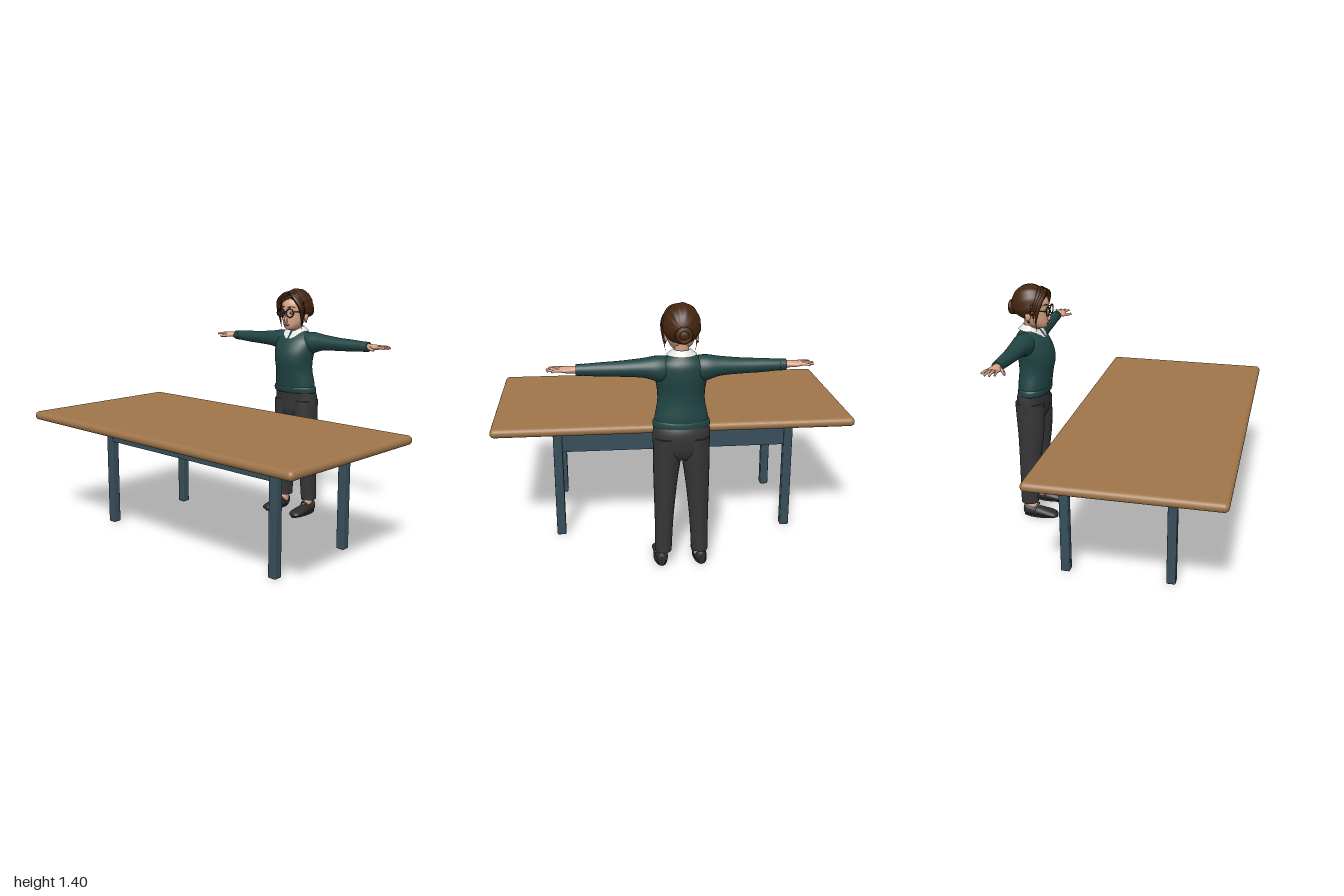
import * as THREE from 'three';
import { RoundedBoxGeometry } from 'three/addons/geometries/RoundedBoxGeometry.js';

const paint = (name, color) => Object.assign(new THREE.MeshStandardMaterial({ color }), { name });

// Smooth closed body through elliptical sections [t, a0, a1, b0, b1] along an axis.
function loft(axis, rows, sides = 28, steps = 4) {
  const rings = [];
  for (let i = 0; i < rows.length - 1; i++) {
    const p = [rows[Math.max(i - 1, 0)], rows[i], rows[i + 1], rows[Math.min(i + 2, rows.length - 1)]];
    const last = i === rows.length - 2;
    for (let s = 0; s < steps + (last ? 1 : 0); s++) {
      const t = s / steps;
      rings.push(p[1].map((_, k) => {
        const [a, b, c, d] = p.map((r) => r[k]);
        return b + 0.5 * t * (c - a + t * (2 * a - 5 * b + 4 * c - d + t * (3 * (b - c) + d - a)));
      }));
    }
  }
  // Doubled end rings keep the rims sharp; collapsed ones close the ends.
  const flat = ([t, a0, a1, b0, b1]) => [t, (a0 + a1) / 2, (a0 + a1) / 2, (b0 + b1) / 2, (b0 + b1) / 2];
  const first = rings[0], end = rings[rings.length - 1];
  const all = [flat(first), first, ...rings, end, flat(end)];
  const pos = [], index = [];
  const order = { x: [0, 1, 2], y: [1, 0, 2], z: [2, 0, 1] }[axis];
  const flip = axis !== 'y';
  all.forEach(([t, a0, a1, b0, b1], r) => {
    for (let j = 0; j < sides; j++) {
      const w = (j / sides) * Math.PI * 2, v = [0, 0, 0];
      v[order[0]] = t;
      v[order[1]] = (a0 + a1) / 2 + ((a1 - a0) / 2) * Math.cos(w);
      v[order[2]] = (b0 + b1) / 2 + ((b1 - b0) / 2) * Math.sin(w);
      pos.push(...v);
      if (r === all.length - 1) continue;
      const k = (j + 1) % sides, A = r * sides + j, B = r * sides + k, C = A + sides, D = B + sides;
      if ((end[0] > first[0]) === flip) index.push(A, B, C, B, D, C);
      else index.push(A, C, B, B, C, D);
    }
  });
  const g = new THREE.BufferGeometry();
  g.setAttribute('position', new THREE.Float32BufferAttribute(pos, 3));
  g.setIndex(index);
  g.computeVertexNormals();
  return g;
}

// Tube whose thickness follows a rule along its path.
function strand(points, radius, rule = (t) => 1 - 0.8 * t, seg = 16, sides = 8) {
  const path = new THREE.CatmullRomCurve3(points.map((p) => new THREE.Vector3(...p)));
  const g = new THREE.TubeGeometry(path, seg, radius, sides);
  const p = g.attributes.position, v = new THREE.Vector3();
  for (let i = 0; i < p.count; i++) {
    const t = Math.floor(i / (sides + 1)) / seg, c = path.getPointAt(t);
    v.fromBufferAttribute(p, i).sub(c).multiplyScalar(rule(t)).add(c);
    p.setXYZ(i, v.x, v.y, v.z);
  }
  g.computeVertexNormals();
  return g;
}

const blob = (x, y, z, rx, ry, rz) => new THREE.SphereGeometry(1, 20, 14).scale(rx, ry, rz).translate(x, y, z);

export function createModel() {
  const wood = paint('wood', 0x9f754a), slate = paint('slate', 0x374e5a), knit = paint('green knit', 0x204544);
  const cloth = paint('dark cloth', 0x363537), leather = paint('shoe leather', 0x2f2c2e), brown = paint('brown hair', 0x46260f);
  const skin = paint('skin', 0xd9a486), white = paint('white', 0xe9e9e6), black = paint('black', 0x17171a), lip = paint('lip', 0xb0685c);
  white.side = THREE.DoubleSide;

  const model = new THREE.Group(), table = new THREE.Group(), woman = new THREE.Group();
  table.name = 'table';
  woman.name = 'standingWoman';
  model.add(table, woman);
  const add = (parent, name, geometry, material) => {
    const m = new THREE.Mesh(geometry, material);
    m.name = name;
    parent.add(m);
    return m;
  };

  // Table
  add(table, 'tableTop', new RoundedBoxGeometry(2, 0.05, 1, 5, 0.0249).translate(0, 0.655, 0.19), wood);
  for (const z of [0.38, -0.195]) {
    add(table, 'apron', new THREE.BoxGeometry(1.25, 0.1, 0.035).translate(0, 0.555, z), slate);
    for (const x of [-0.645, 0.645])
      add(table, 'tableLeg', new RoundedBoxGeometry(0.05, 0.635, 0.05, 2, 0.007).translate(x, 0.3175, z), slate);
  }

  // Sweater body, hem and hips
  const body = (rows) => loft('y', rows.map(([y, r, z0, z1]) => [y, -r, r, z0, z1]), 36);
  add(woman, 'sweater', body([
    [0.79, 0.139, -0.642, -0.462], [0.83, 0.134, -0.644, -0.456], [0.9, 0.121, -0.638, -0.444],
    [0.96, 0.122, -0.64, -0.431], [1.02, 0.131, -0.649, -0.436], [1.08, 0.134, -0.65, -0.464],
    [1.112, 0.118, -0.642, -0.491], [1.135, 0.085, -0.625, -0.515], [1.155, 0.048, -0.605, -0.53]]), knit);
  add(woman, 'sweaterHem', body([
    [0.77, 0.143, -0.642, -0.468], [0.778, 0.147, -0.646, -0.462], [0.8, 0.145, -0.645, -0.458], [0.81, 0.136, -0.64, -0.466]]), knit);
  add(woman, 'hips', body([
    [0.6, 0.1, -0.62, -0.51], [0.65, 0.142, -0.648, -0.483], [0.74, 0.147, -0.655, -0.478], [0.79, 0.138, -0.64, -0.472]]), cloth);

  // Mirrored limbs
  for (const s of [1, -1]) {
    const side = s > 0 ? 'left' : 'right';
    const mx = (a, b) => (s > 0 ? [a, b] : [-b, -a]);
    const leg = (rows) => loft('y', rows.map(([y, a, b, ...z]) => [y, ...mx(a, b), ...z]));
    add(woman, side + 'TrouserLeg', leg([
      [0.72, 0.002, 0.144, -0.652, -0.482], [0.6, 0.003, 0.146, -0.646, -0.483], [0.5, 0.017, 0.145, -0.64, -0.49],
      [0.4, 0.029, 0.143, -0.638, -0.504], [0.25, 0.043, 0.14, -0.637, -0.52], [0.083, 0.052, 0.14, -0.637, -0.533]]), cloth);
    add(woman, side + 'Ankle', leg([[0.1, 0.072, 0.122, -0.612, -0.552], [0.03, 0.07, 0.125, -0.612, -0.51]]), skin);

    // Shoe: upper, sole and heel
    add(woman, side + 'Shoe', loft('z', [
      [-0.622, 0.088, 0.118, 0.012, 0.055], [-0.61, 0.077, 0.13, 0, 0.076], [-0.57, 0.07, 0.134, 0, 0.066],
      [-0.51, 0.066, 0.141, 0, 0.054], [-0.45, 0.066, 0.146, 0, 0.042], [-0.42, 0.076, 0.142, 0.003, 0.032],
      [-0.407, 0.097, 0.127, 0.009, 0.02]].map(([z, a, b, ...y]) => [z, ...mx(a, b), ...y])), leather);
    add(woman, side + 'Sole', leg([[0, 0.068, 0.144, -0.62, -0.41], [0.012, 0.068, 0.144, -0.62, -0.41]]), leather);
    add(woman, side + 'ShoeStrap', strand([[s * 0.068, 0.04, -0.55], [s * 0.098, 0.073, -0.53], [s * 0.136, 0.04, -0.55]], 0.007, () => 1), leather);

    // Sleeve, cuff and hand
    const arm = (rows) => loft('x', rows.map(([x, ...r]) => [s * x, ...r]));
    add(woman, side + 'Sleeve', arm([
      [0.06, 1.01, 1.136, -0.625, -0.51], [0.12, 1.012, 1.142, -0.635, -0.508], [0.19, 1.034, 1.132, -0.627, -0.518],
      [0.3, 1.042, 1.121, -0.616, -0.528], [0.4, 1.046, 1.116, -0.61, -0.537], [0.5, 1.054, 1.11, -0.604, -0.545]]), knit);
    add(woman, side + 'Cuff', arm([[0.49, 1.051, 1.112, -0.606, -0.543], [0.522, 1.054, 1.11, -0.604, -0.545]]), knit);
    add(woman, side + 'Palm', arm([
      [0.51, 1.064, 1.102, -0.594, -0.553], [0.54, 1.066, 1.1, -0.597, -0.545], [0.575, 1.069, 1.099, -0.606, -0.534],
      [0.602, 1.075, 1.097, -0.602, -0.54]]), skin);
    [[-0.596, -0.613, 0.64], [-0.58, -0.588, 0.664], [-0.563, -0.561, 0.668], [-0.547, -0.533, 0.657]].forEach(([z0, z1, tip]) =>
      add(woman, side + 'Finger', strand([[s * 0.585, 1.086, z0], [s * 0.62, 1.088, (z0 + z1) / 2], [s * tip, 1.083, z1]], 0.0092,
        (t) => (t > 0.99 ? 0.05 : 1 - 0.4 * t)), skin));
    add(woman, side + 'Thumb', strand([[s * 0.535, 1.082, -0.555], [s * 0.565, 1.078, -0.525], [s * 0.605, 1.074, -0.502]], 0.012,
      (t) => (t > 0.99 ? 0.05 : 1 - 0.4 * t)), skin);

    // Face details and glasses
    add(woman, side + 'Ear', blob(s * 0.077, 1.235, -0.553, 0.01, 0.027, 0.017), skin);
    add(woman, side + 'Earring', blob(s * 0.081, 1.203, -0.548, 0.005, 0.007, 0.005), black);
    add(woman, side + 'Eye', blob(s * 0.032, 1.257, -0.468, 0.014, 0.008, 0.006), white);
    add(woman, side + 'Iris', blob(s * 0.032, 1.257, -0.463, 0.006, 0.007, 0.003), black);
    add(woman, side + 'Eyebrow', strand([[s * 0.014, 1.289, -0.457], [s * 0.034, 1.295, -0.462], [s * 0.054, 1.289, -0.478]], 0.004), brown);
    add(woman, side + 'GlassesRim', new THREE.TorusGeometry(0.026, 0.0033, 8, 28).scale(1.08, 0.95, 1).translate(s * 0.035, 1.257, -0.448), black);
    add(woman, side + 'GlassesArm', strand([[s * 0.062, 1.264, -0.449], [s * 0.076, 1.265, -0.49], [s * 0.081, 1.262, -0.56]], 0.003, () => 1), black);

    // Swept locks framing the face
    for (const d of [0, 1, 2])
      add(woman, side + 'HairLock', strand([
        [0.015 + s * 0.006, 1.37 + d * 0.006, -0.474 - d * 0.018], [s * 0.055, 1.345 + d * 0.006, -0.468 - d * 0.012],
        [s * 0.085, 1.295, -0.484 - d * 0.014], [s * 0.086, 1.225 + d * 0.02, -0.502 - d * 0.014],
        [s * 0.076, 1.15 + d * 0.04, -0.507 - d * 0.014]], 0.015, (t) => 0.35 + 0.65 * Math.sin(Math.PI * Math.min(1, 0.1 + t)) - 0.3 * t), brown);
  }
  add(woman, 'glassesBridge', strand([[-0.009, 1.261, -0.448], [0, 1.265, -0.446], [0.009, 1.261, -0.448]], 0.003, () => 1), black);

  // Head and neck
  add(woman, 'head', body([
    [1.153, 0.018, -0.53, -0.483], [1.16, 0.033, -0.555, -0.469], [1.18, 0.052, -0.58, -0.461], [1.21, 0.066, -0.605, -0.459],
    [1.25, 0.074, -0.62, -0.458], [1.3, 0.077, -0.63, -0.455], [1.34, 0.068, -0.62, -0.474], [1.375, 0.03, -0.58, -0.52]]), skin);
  add(woman, 'neck', body([[1.1, 0.042, -0.605, -0.52], [1.15, 0.036, -0.598, -0.523], [1.22, 0.038, -0.6, -0.52]]), skin);
  add(woman, 'nose', strand([[0, 1.262, -0.462], [0, 1.235, -0.457], [0, 1.212, -0.452], [0, 1.203, -0.46]], 0.01, (t) => 0.5 + 0.5 * t), skin);
  add(woman, 'lips', blob(0, 1.184, -0.461, 0.019, 0.006, 0.006), lip);

  // Collar with two front points
  const collar = new THREE.CylinderGeometry(1, 1, 1, 48, 1, true, 0.1, Math.PI * 2 - 0.2);
  const cp = collar.attributes.position;
  for (let i = 0; i < cp.count; i++) {
    const sx = cp.getX(i), c = cp.getZ(i), f = Math.max(0, c);
    if (cp.getY(i) > 0) cp.setXYZ(i, 0.044 * sx, 1.174 - 0.028 * f, -0.56 + 0.048 * c);
    else cp.setXYZ(i, 0.075 * sx, 1.146 - 0.046 * f * f, -0.555 + 0.08 * c);
  }
  collar.computeVertexNormals();
  add(woman, 'collar', collar, white);

  // Hair cap with combed ripples, tucked under the skin around the face
  const hair = new THREE.SphereGeometry(1, 72, 48);
  const hp = hair.attributes.position, v = new THREE.Vector3();
  for (let i = 0; i < hp.count; i++) {
    v.fromBufferAttribute(hp, i);
    const ripple = 1 + 0.012 * Math.sin(14 * Math.atan2(v.y, v.x - 0.2) + 3 * v.z) * Math.hypot(v.x, v.y);
    const y = 1.285 + v.y * (v.y > 0 ? 0.115 : 0.085), x = v.x * 0.094;
    const line = 1.35 - 0.5 * Math.abs(x - 0.015);
    const open = (v.z > 0.3 && y < line) || (v.z > -0.1 && y < 1.235) ? 0.72 : 1;
    hp.setXYZ(i, x * ripple * open, 1.285 + (y - 1.285) * ripple * open, -0.558 + v.z * 0.11 * ripple * open);
  }
  hair.computeVertexNormals();
  add(woman, 'hairCap', hair, brown);

  // Coiled bun
  add(woman, 'bun', blob(0, 1.265, -0.656, 0.044, 0.042, 0.032), brown);
  add(woman, 'bunCoil', new THREE.TorusGeometry(0.028, 0.015, 10, 28).translate(0, 1.265, -0.67), brown);
  return model;
}
